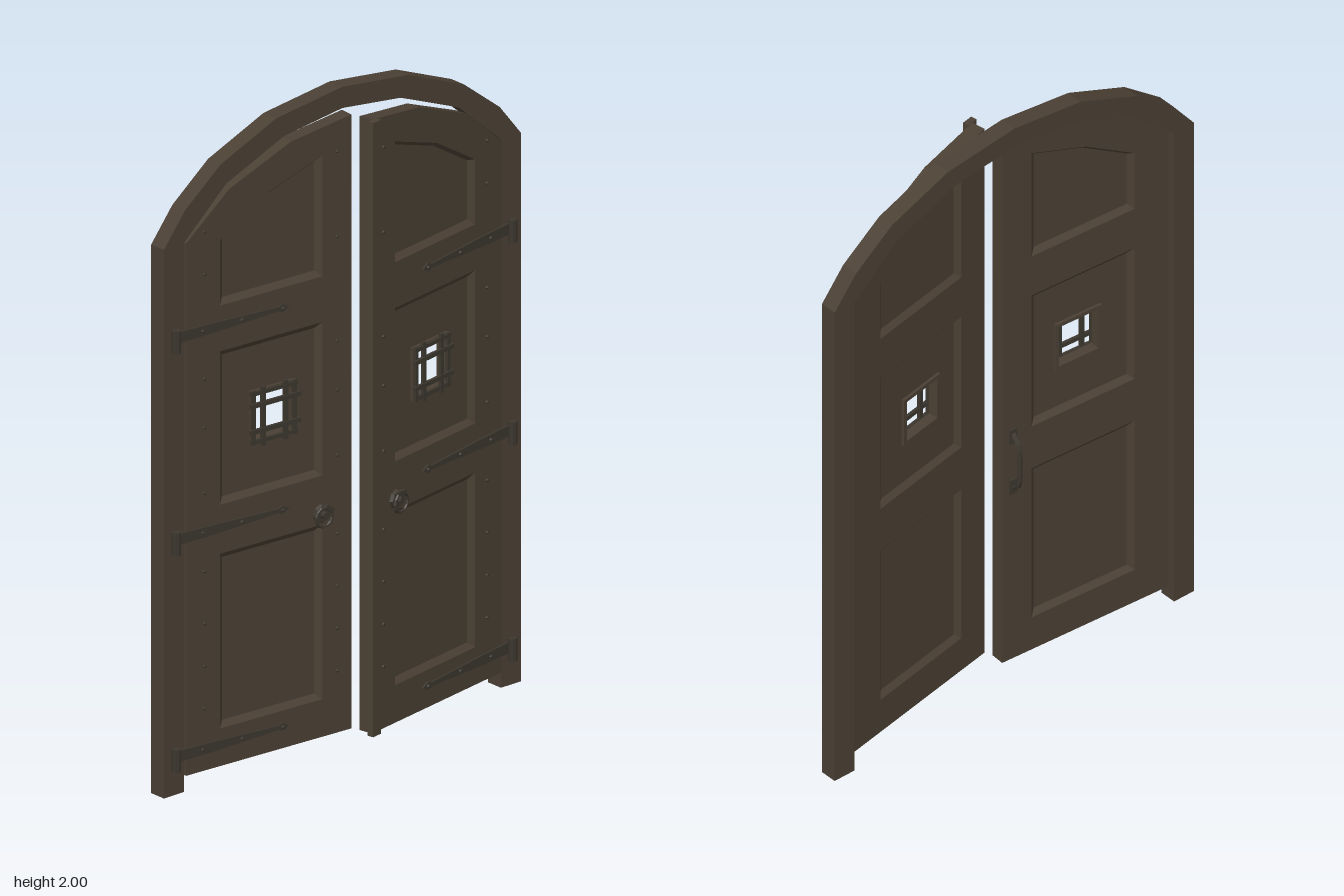
import * as THREE from 'three';

const wood = new THREE.MeshStandardMaterial({ color: 0x4b4034, flatShading: true, side: THREE.DoubleSide });
wood.name = 'dark oak';
const iron = new THREE.MeshStandardMaterial({ color: 0x3c372e, flatShading: true });
iron.name = 'aged iron';

const THICK = 0.045, RECESS = 0.014;

function add(parent, name, geometry, material, x = 0, y = 0, z = 0) {
  const mesh = new THREE.Mesh(geometry, material);
  mesh.name = name;
  mesh.position.set(x, y, z);
  parent.add(mesh);
  return mesh;
}
const box = (w, h, d) => new THREE.BoxGeometry(w, h, d);
const vectors = (points) => points.map(([x, y]) => new THREE.Vector2(x, y));

// Extruded polygon with polygonal holes
function slab(outline, holes, depth) {
  const shape = new THREE.Shape(vectors(outline));
  for (const h of holes) shape.holes.push(new THREE.Path(vectors(h)));
  return new THREE.ExtrudeGeometry(shape, { depth, bevelEnabled: false });
}
const rect = (x0, y0, x1, y1) => [[x0, y0], [x1, y0], [x1, y1], [x0, y1]];

// Shrink a polygon by a margin inside its bounding box
function inset(points, margin) {
  const b = new THREE.Box2().setFromPoints(vectors(points));
  const c = b.getCenter(new THREE.Vector2()), s = b.getSize(new THREE.Vector2());
  return points.map(([x, y]) => [
    c.x + (x - c.x) * (1 - 2 * margin / s.x),
    c.y + (y - c.y) * (1 - 2 * margin / s.y),
  ]);
}

// Sloping strip joining two polygons at different depths
function moulding(outer, zOuter, inner, zInner, flip) {
  const pos = [];
  const n = outer.length;
  for (let i = 0; i < n; i++) {
    const j = (i + 1) % n;
    const a = [...outer[i], zOuter], b = [...outer[j], zOuter];
    const c = [...inner[j], zInner], d = [...inner[i], zInner];
    const q = flip ? [a, c, b, a, d, c] : [a, b, c, a, c, d];
    pos.push(...q.flat());
  }
  const g = new THREE.BufferGeometry();
  g.setAttribute('position', new THREE.Float32BufferAttribute(pos, 3));
  g.computeVertexNormals();
  return g;
}

function makeFrame() {
  const outer = [[0.675, 0], [0.675, 1.68], [0.595, 1.78], [0.46, 1.885], [0.25, 1.97], [0, 2]];
  const inner = [[0, 1.935], [0.22, 1.908], [0.44, 1.82], [0.6, 1.68], [0.6, 0]];
  const mirror = (pts) => pts.map(([x, y]) => [-x, y]).reverse();
  const outline = [...outer, ...mirror(outer).slice(1), ...mirror(inner), ...inner.slice(1)];
  const group = new THREE.Group();
  add(group, 'archedFrame', slab(outline, [], 0.055), wood, 0, 0, -0.1);
  return group;
}

// One leaf; its origin is the hinge edge on the front face, side is +1 for a leaf running to +x
function makeLeaf(side) {
  const leaf = new THREE.Group();
  const place = (pts) => {
    const p = pts.map(([u, y]) => [u * side, y]);
    return side < 0 ? p.reverse() : p;
  };
  const outline = place([[0.004, 0.05], [0.597, 0.05], [0.597, 1.93], [0.38, 1.9], [0.16, 1.81], [0.004, 1.68]]);
  const panels = [
    rect(0.125, 0.165, 0.492, 0.7),
    rect(0.125, 0.85, 0.492, 1.32),
    [[0.125, 1.46], [0.492, 1.46], [0.492, 1.83], [0.3, 1.765], [0.125, 1.66]],
  ].map(place);
  add(leaf, 'leafStiles', slab(outline, panels, THICK), wood, 0, 0, -THICK);

  // Recessed panels with sloping edges on both faces
  const wu = 0.32, wy = 1.085;
  const opening = place(rect(wu - 0.07, wy - 0.07, wu + 0.07, wy + 0.07));
  panels.forEach((p, i) => {
    const inner = inset(p, 0.018);
    add(leaf, 'panelMouldingFront', moulding(p, 0, inner, -RECESS, false), wood);
    add(leaf, 'panelMouldingBack', moulding(p, -THICK, inner, RECESS - THICK, true), wood);
    add(leaf, 'panel', slab(inner, i === 1 ? [opening] : [], THICK - 2 * RECESS), wood, 0, 0, RECESS - THICK);
  });

  // Peephole surround and grille
  const surround = place(rect(wu - 0.082, wy - 0.082, wu + 0.082, wy + 0.082));
  add(leaf, 'windowSurround', slab(surround, [opening], THICK - 0.01), wood, 0, 0, 0.005 - THICK);
  for (const o of [-0.04, 0.04]) {
    add(leaf, 'grilleUpright', box(0.013, 0.18, 0.01), iron, side * (wu + o), wy, 0);
    add(leaf, 'grilleCrossbar', box(0.18, 0.013, 0.01), iron, side * wu, wy + o, 0.004);
  }
  for (const o of [-0.074, 0.074]) {
    add(leaf, 'grilleEdgeUpright', box(0.012, 0.165, 0.01), iron, side * (wu + o), wy, -0.002);
    add(leaf, 'grilleEdgeCrossbar', box(0.165, 0.012, 0.01), iron, side * wu, wy + o, -0.002);
  }

  // Tapered strap hinges with knuckles
  for (const y of [0.118, 0.782, 1.4]) {
    const strap = place([[-0.04, y - 0.017], [0.1, y - 0.015], [0.33, y - 0.006], [0.345, y - 0.013],
      [0.37, y], [0.345, y + 0.013], [0.33, y + 0.006], [0.1, y + 0.015], [-0.04, y + 0.017]]);
    add(leaf, 'strapHinge', slab(strap, [], 0.006), iron);
    add(leaf, 'hingeKnuckle', new THREE.CylinderGeometry(0.014, 0.014, 0.07, 8), iron, -0.037 * side, y - 0.008, 0.008);
    for (const u of [0.06, 0.2, 0.347]) {
      add(leaf, 'strapStud', new THREE.SphereGeometry(0.006, 6, 4), iron, u * side, y, 0.006);
    }
  }

  // Studs down both stiles
  for (const u of [0.07, 0.545]) {
    for (const y of [0.24, 0.37, 0.5, 0.66, 0.9, 1.1, 1.25, 1.57, u > 0.3 ? 1.83 : 1.7]) {
      add(leaf, 'stud', new THREE.SphereGeometry(0.006, 6, 4), iron, u * side, y, 0);
    }
  }

  // Ring handle on its rose
  const handle = new THREE.Group();
  handle.name = 'ringHandle';
  handle.position.set(0.488 * side, 0.735, 0);
  add(handle, 'rose', new THREE.CylinderGeometry(0.026, 0.03, 0.01, 8).rotateX(Math.PI / 2), iron, 0, 0, 0.005);
  add(handle, 'boss', new THREE.CylinderGeometry(0.01, 0.012, 0.022, 8).rotateX(Math.PI / 2), iron, 0, 0, 0.013);
  add(handle, 'ring', new THREE.TorusGeometry(0.029, 0.005, 6, 12), iron, 0, -0.006, 0.02);
  add(handle, 'pin', box(0.034, 0.012, 0.01), iron, 0, 0.024, 0.02);
  if (side > 0) handle.rotation.z = -0.7;
  leaf.add(handle);
  return leaf;
}

export function createModel() {
  const model = new THREE.Group();
  model.name = 'archedDoubleDoor';
  const frame = makeFrame();
  frame.name = 'frame';
  model.add(frame);

  // Nearly closed leaf with a pull on the back
  const right = makeLeaf(1);
  right.name = 'rightLeaf';
  right.position.set(-0.6, 0, -0.04);
  right.rotation.y = -0.066;
  const bow = new THREE.CatmullRomCurve3([[0.86, 0], [0.83, -0.03], [0.76, -0.036], [0.69, -0.03], [0.66, 0]]
    .map(([y, z]) => new THREE.Vector3(0.56, y, z - THICK)));
  add(right, 'backPull', new THREE.TubeGeometry(bow, 12, 0.008, 6), iron);
  for (const y of [0.67, 0.85]) add(right, 'pullPlate', box(0.026, 0.05, 0.008), iron, 0.56, y, -THICK - 0.003);
  model.add(right);

  // Open leaf carrying the strip that covers the meeting edge
  const left = makeLeaf(-1);
  left.name = 'leftLeaf';
  left.position.set(0.6, 0, -0.04);
  left.rotation.y = 0.182;
  add(left, 'meetingStrip', box(0.036, 1.88, 0.02), wood, -0.599, 0.99, 0.01);
  model.add(left);
  return model;
}
